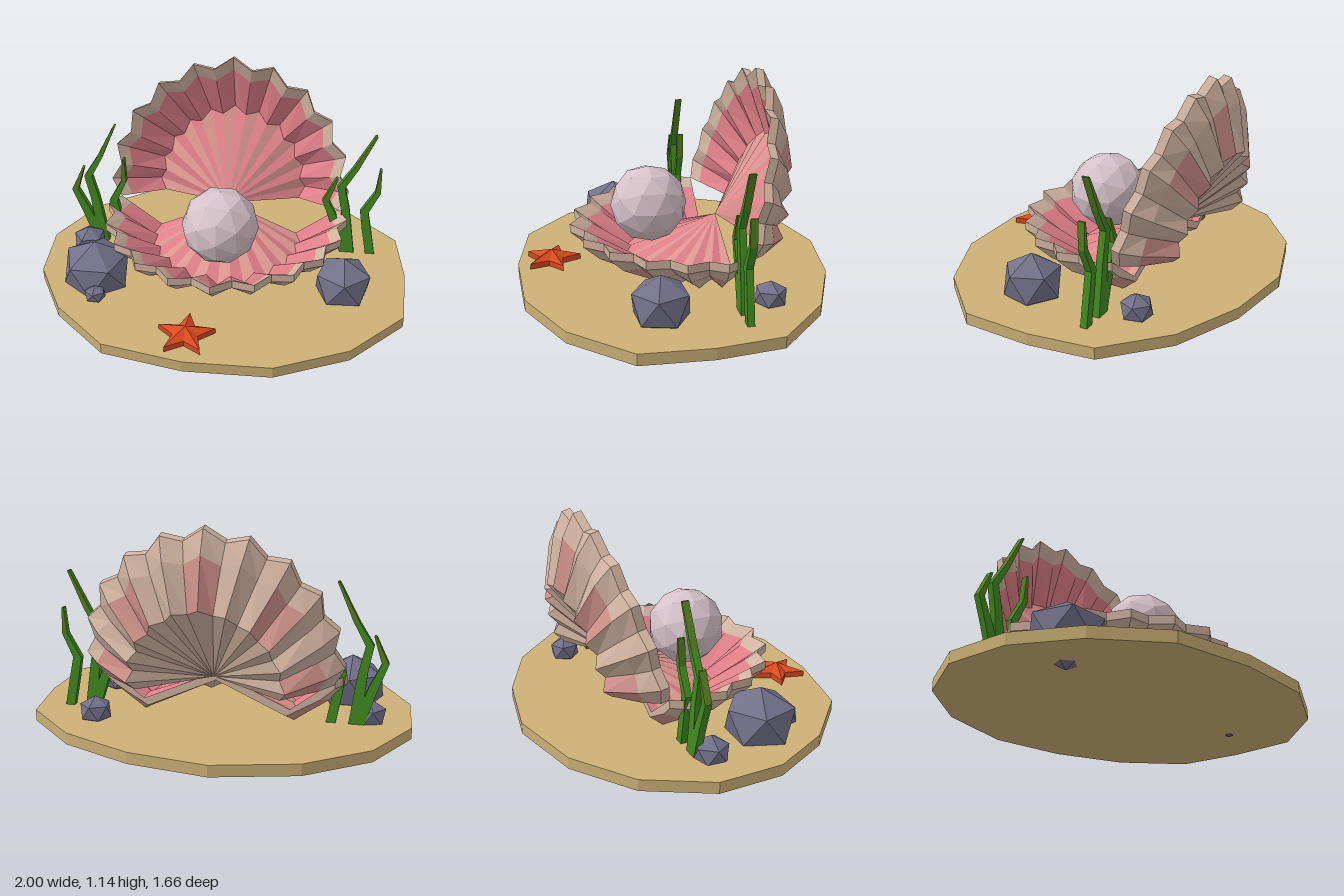
import * as THREE from 'three';

const flat = (name, color) => {
  const m = new THREE.MeshStandardMaterial({ color, flatShading: true });
  m.name = name;
  return m;
};

export function createModel() {
  const model = new THREE.Group();
  model.name = 'clamScene';
  const mats = {
    sand: flat('sand', 0xcdb176), tan: flat('shellTan', 0xd0b2a0), rose: flat('shellRose', 0xdf7f88),
    blush: flat('shellBlush', 0xda958f), dusty: flat('shellDustyRose', 0xcf918a), pearl: flat('pearl', 0xd6c2ca),
    rock: flat('rock', 0x73718a), star: flat('starfish', 0xdb4a20),
    leaf: flat('leafGreen', 0x428a20), olive: flat('leafOlive', 0x55801f),
  };
  const add = (parent, name, geo, mat, x = 0, y = 0, z = 0) => {
    const mesh = new THREE.Mesh(geo, mat);
    mesh.name = name;
    mesh.position.set(x, y, z);
    parent.add(mesh);
    return mesh;
  };

  // Sand slab
  const outline = [[-0.1, -0.83], [0.31, -0.77], [0.68, -0.61], [0.96, -0.34], [1, 0], [0.98, 0.36], [0.71, 0.65],
    [0.34, 0.82], [-0.1, 0.83], [-0.52, 0.75], [-0.81, 0.49], [-0.98, 0.18], [-1, -0.16], [-0.83, -0.49], [-0.52, -0.72]];
  const slab = new THREE.ExtrudeGeometry(
    new THREE.Shape(outline.map(([x, z]) => new THREE.Vector2(x, -z))), { depth: 0.06, bevelEnabled: false });
  slab.rotateX(-Math.PI / 2);
  add(model, 'sandBase', slab, mats.sand, 0, 0.03, 0);

  // Scalloped half shell: a corrugated fan around the hinge, with inner and outer skins
  const SEG = 22;
  const inner = [[0, 0], [0.63, 0.205], [0.91, 0.05], [1, 0]];   // [radius fraction, depth]
  const outer = [[0, 0.045], [0.6, 0.25], [0.88, 0.13], [1, 0.045]];
  const point = (profile, i, k) => {
    const t = i / SEG * 2 - 1;
    const theta = t * Math.PI / 2;
    const peak = i % 2 === 1;
    const r = (0.79 - 0.13 * Math.abs(t) ** 1.3) * (peak ? 1 : 0.93) * profile[k][0];
    const rib = k === 1 || k === 2 ? (peak ? 1 : 0.85) : 1;
    return [r * Math.sin(theta), -profile[k][1] * rib, r * Math.cos(theta)];
  };
  const makeShell = (name) => {
    const shell = new THREE.Group();
    shell.name = name;
    const faces = { tan: [], rose: [], blush: [], dusty: [] };
    const quad = (color, a, b, c, d) => faces[color].push(...a, ...b, ...c, ...a, ...c, ...d);
    for (let i = 0; i < SEG; i++) {
      for (let k = 0; k < 3; k++) {
        const corners = (p) => [point(p, i, k), point(p, i, k + 1), point(p, i + 1, k + 1), point(p, i + 1, k)];
        const inColor = [i % 2 ? 'blush' : 'rose', 'rose', 'tan'][k];
        const outColor = k === 1 && i % 5 < 2 ? 'dusty' : 'tan';
        quad(inColor, ...corners(inner));
        quad(outColor, ...corners(outer).reverse());
      }
      // Rim band
      quad('tan', point(outer, i, 3), point(outer, i + 1, 3), point(inner, i + 1, 3), point(inner, i, 3));
    }
    // Cut ends beside the hinge
    for (let k = 0; k < 3; k++) {
      const end = (i) => [point(inner, i, k), point(inner, i, k + 1), point(outer, i, k + 1), point(outer, i, k)];
      quad('tan', ...end(0).reverse());
      quad('tan', ...end(SEG));
    }
    for (const [color, data] of Object.entries(faces)) {
      const geo = new THREE.BufferGeometry();
      geo.setAttribute('position', new THREE.Float32BufferAttribute(data, 3));
      geo.computeVertexNormals();
      add(shell, `${name}_${color}`, geo, mats[color]);
    }
    shell.position.set(0, 0.34, -0.237);
    model.add(shell);
    return shell;
  };
  makeShell('lowerShell');
  const upper = makeShell('upperShell');
  upper.rotation.set(1.318, Math.PI, 0);
  upper.scale.z = 1.04;

  // Pearl
  add(model, 'pearl', new THREE.IcosahedronGeometry(0.205, 1), mats.pearl, 0, 0.43, 0.13);

  // Rocks: [x, y, z, radius, height radius, turn]
  [[-0.66, 0.168, 0.23, 0.195, 0.168, 0.3], [0.66, 0.165, 0.19, 0.162, 0.148, 1.0], [-0.78, 0.12, -0.095, 0.095, 0.085, 0.6],
    [0.61, 0.13, -0.37, 0.088, 0.078, 0.2], [-0.63, 0.125, 0.4, 0.06, 0.05, 0.9]].forEach(([x, y, z, r, h, turn]) => {
    const geo = new THREE.IcosahedronGeometry(1, 0);
    geo.rotateZ(-0.5536).rotateY(turn).scale(r, h, r);
    add(model, 'rock', geo, mats.rock, x, y, z);
  });

  // Starfish: ten-sided solids with alternate corners pulled in
  const starfish = new THREE.Group();
  starfish.name = 'starfish';
  starfish.position.set(-0.11, 0.09, 0.645);
  const starry = (geo) => {
    const p = geo.attributes.position;
    for (let i = 0; i < p.count; i++) {
      const step = Math.round(Math.atan2(p.getX(i), p.getZ(i)) / (Math.PI / 5));
      const s = step % 2 ? 0.153 : 0.068;
      p.setX(i, p.getX(i) * s);
      p.setZ(i, p.getZ(i) * s);
    }
    return geo;
  };
  add(starfish, 'starfishBody', starry(new THREE.CylinderGeometry(1, 1, 0.03, 10)), mats.star, 0, 0.015, 0);
  add(starfish, 'starfishTop', starry(new THREE.ConeGeometry(1, 0.04, 10, 1, true)), mats.star, 0, 0.05, 0);
  model.add(starfish);

  // Seaweed blades: a segmented box bent along [x, y, width] stations
  const bladeGeo = (path) => {
    const n = path.length - 1;
    const geo = new THREE.BoxGeometry(1, 1, 0.036, 1, n, 1);
    const p = geo.attributes.position;
    for (let i = 0; i < p.count; i++) {
      const [x, y, w] = path[Math.round((p.getY(i) + 0.5) * n)];
      p.setX(i, x + p.getX(i) * w);
      p.setY(i, y);
    }
    return geo;
  };
  const blades = [
    [[0, 0.09, 0.06], [-0.02, 0.25, 0.055], [-0.035, 0.37, 0.048], [-0.065, 0.51, 0.042], [0.005, 0.63, 0.032], [0.1, 0.83, 0.012]],
    [[0.12, 0.09, 0.05], [0.09, 0.25, 0.05], [0.07, 0.36, 0.045], [0.135, 0.49, 0.03], [0.14, 0.63, 0.01]],
    [[-0.02, 0.09, 0.06], [-0.09, 0.29, 0.05], [-0.145, 0.42, 0.036], [-0.09, 0.56, 0.012]],
  ];
  [[-0.71, -0.16], [0.69, -0.208]].forEach(([x, z]) => {
    const clump = new THREE.Group();
    clump.name = 'seaweed';
    clump.position.set(x, 0, z);
    blades.forEach((path) => {
      const split = path.length - 2;
      add(clump, 'bladeLower', bladeGeo(path.slice(0, split + 1)), mats.leaf);
      add(clump, 'bladeTip', bladeGeo(path.slice(split)), mats.olive);
    });
    model.add(clump);
  });

  return model;
}
